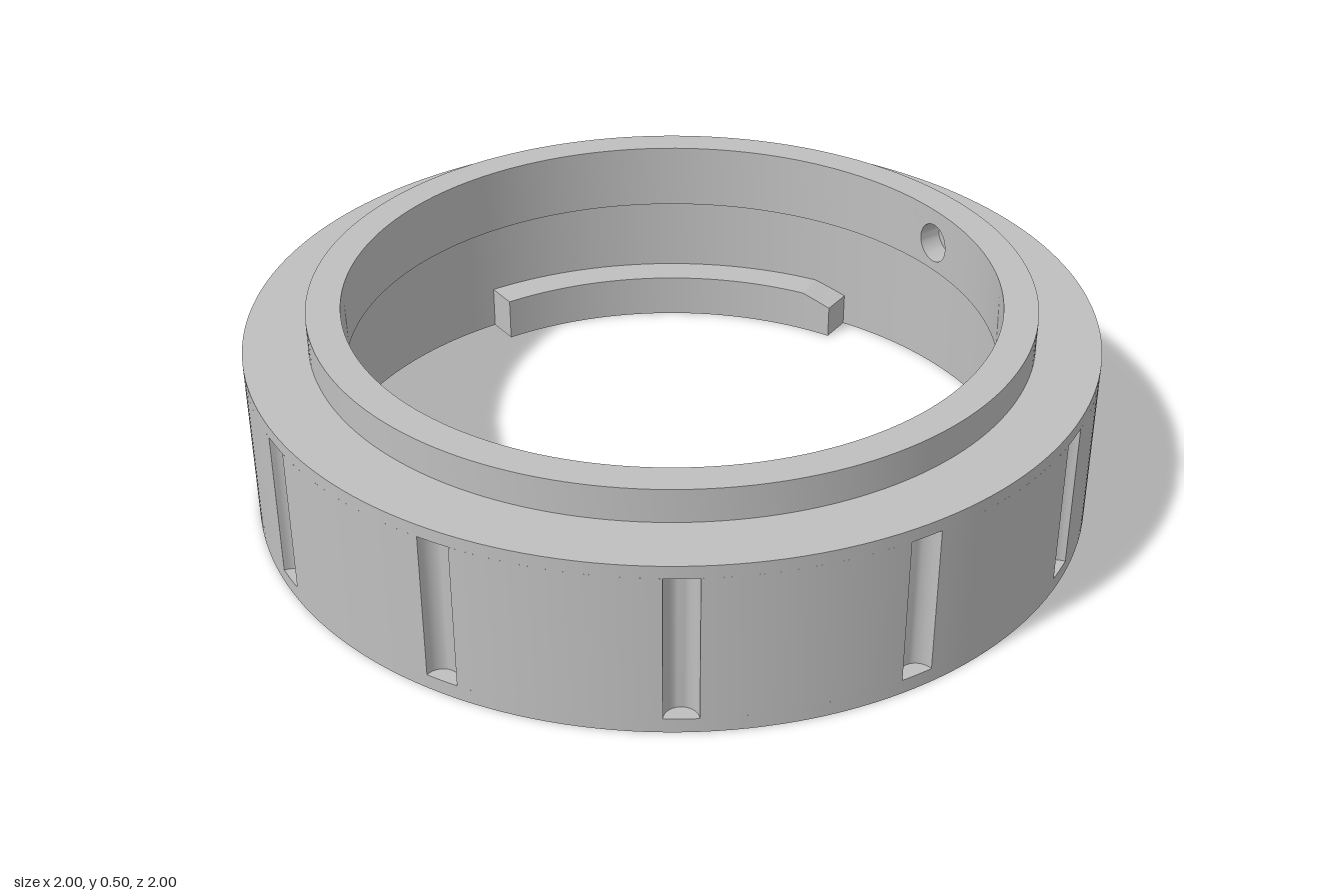
import * as THREE from 'three';
import { toCreasedNormals } from 'three/addons/utils/BufferGeometryUtils.js';

const DEG = Math.PI / 180;
const OUTER = 1, COLLAR = 0.85, BORE = 0.77, RECESS = 0.855;
const TOP = 0.5, SHOULDER = 0.42, LEDGE = 0.336;
const SLOT_R = 0.038, SLOT_Y0 = 0.035, SLOT_Y1 = 0.39;

const polar = (r, a, y) => [r * Math.sin(a), y, r * Math.cos(a)];

// Grid surface: f(i, j) returns a point; it faces along (i direction) x (j direction)
function surface(nu, nv, f) {
  const pos = [], idx = [];
  for (let i = 0; i <= nu; i++) for (let j = 0; j <= nv; j++) pos.push(...f(i, j));
  for (let i = 0; i < nu; i++) {
    for (let j = 0; j < nv; j++) {
      const a = i * (nv + 1) + j, b = a + nv + 1;
      idx.push(a, b, a + 1, b + 1, a + 1, b);
    }
  }
  const g = new THREE.BufferGeometry();
  g.setAttribute('position', new THREE.Float32BufferAttribute(pos, 3));
  g.setIndex(idx);
  return toCreasedNormals(g, 0.6);
}

function lathe(points, segments = 180, start = 0, length = Math.PI * 2) {
  const profile = points.map(([r, y]) => new THREE.Vector2(r, y));
  return toCreasedNormals(new THREE.LatheGeometry(profile, segments, start, length), 0.6);
}

export function createModel() {
  const model = new THREE.Group();
  model.name = 'bayonetRing';
  const metal = new THREE.MeshStandardMaterial({ color: 0xbfbfbf });
  metal.name = 'grey metal';
  const add = (parent, name, geometry) => {
    const mesh = new THREE.Mesh(geometry, metal);
    mesh.name = name;
    parent.add(mesh);
  };

  // Shoulder and raised collar
  add(model, 'collar', lathe([[OUTER, SLOT_Y1], [OUTER, SHOULDER], [COLLAR, SHOULDER], [COLLAR, TOP], [BORE, TOP]]));
  // Inner ledge, wide recess, underside and lower rim
  add(model, 'base', lathe([[BORE, LEDGE], [RECESS, LEDGE], [RECESS, 0], [OUTER, 0], [OUTER, SLOT_Y0]]));

  // Grip wall with twelve half-round slots
  const half = Math.asin(SLOT_R), zEdge = Math.cos(half), N = 14;
  const slotPoint = (i, onRim, y) => {
    const s = (i / N - 0.5) * Math.PI, x = SLOT_R * Math.sin(s);
    return [x, y, onRim ? Math.sqrt(1 - x * x) : zEdge - SLOT_R * Math.cos(s)];
  };
  const wall = surface(20, 1, (i, j) =>
    polar(OUTER, half + (30 * DEG - 2 * half) * i / 20, j ? SLOT_Y1 : SLOT_Y0));
  const groove = surface(N, 1, (i, j) => slotPoint(i, false, j ? SLOT_Y1 : SLOT_Y0));
  const slotTop = surface(N, 1, (i, j) => slotPoint(i, j === 1, SLOT_Y1));
  const slotBottom = surface(N, 1, (i, j) => slotPoint(i, j === 0, SLOT_Y0));
  for (let k = 0; k < 12; k++) {
    const sector = new THREE.Group();
    sector.name = 'gripSector';
    sector.rotation.y = k * 30 * DEG;
    add(sector, 'gripWall', wall);
    add(sector, 'slotGroove', groove);
    add(sector, 'slotTop', slotTop);
    add(sector, 'slotBottom', slotBottom);
    model.add(sector);
  }

  // Upper bore, left open where the two blind holes sit
  const patch = 6;
  for (const [from, to] of [[90 + patch, 150 - patch], [150 + patch, 450 - patch]]) {
    add(model, 'bore', lathe([[BORE, TOP], [BORE, LEDGE]], (to - from) / 2, from * DEG, (to - from) * DEG));
  }

  // Blind hole: floor, side and the surrounding piece of bore
  const holeR = 0.05, holeY = 0.41, floorR = 0.83;
  const clamp = (t) => THREE.MathUtils.clamp(t * Math.SQRT2, -1, 1);
  const hole = surface(32, 3, (i, j) => {
    const t = i / 32 * Math.PI * 2, c = Math.cos(t), s = Math.sin(t);
    if (j === 3) return polar(BORE, clamp(c) * patch * DEG, holeY + clamp(s) * (s > 0 ? TOP - holeY : holeY - LEDGE));
    const rad = j === 0 ? 0 : holeR;
    const r = j === 2 ? BORE : floorR;
    return polar(r, rad * c / BORE, holeY + rad * s);
  });
  for (const a of [90, 150]) {
    const g = new THREE.Group();
    g.name = 'blindHole';
    g.rotation.y = a * DEG;
    add(g, 'holeWall', hole);
    model.add(g);
  }

  // Three bayonet lugs, each with a sloping lead-in at one end
  const span = 68, lugH = 0.11, endH = 0.085, ramp = 6;
  const height = (i) => endH + (lugH - endH) * Math.min(1, i / ramp);
  const lugBody = surface(span, 3, (i, j) =>
    polar(j === 0 || j === 3 ? RECESS : BORE, i * DEG, j < 2 ? height(i) : 0));
  const lugStart = surface(1, 1, (i, j) => polar(i ? RECESS : BORE, 0, j * endH));
  const lugEnd = surface(1, 1, (i, j) => polar(i ? BORE : RECESS, span * DEG, j * lugH));
  for (let k = 0; k < 3; k++) {
    const lug = new THREE.Group();
    lug.name = 'lug';
    lug.rotation.y = (55.5 + 120 * k) * DEG;
    add(lug, 'lugBody', lugBody);
    add(lug, 'lugStart', lugStart);
    add(lug, 'lugEnd', lugEnd);
    model.add(lug);
  }
  return model;
}
